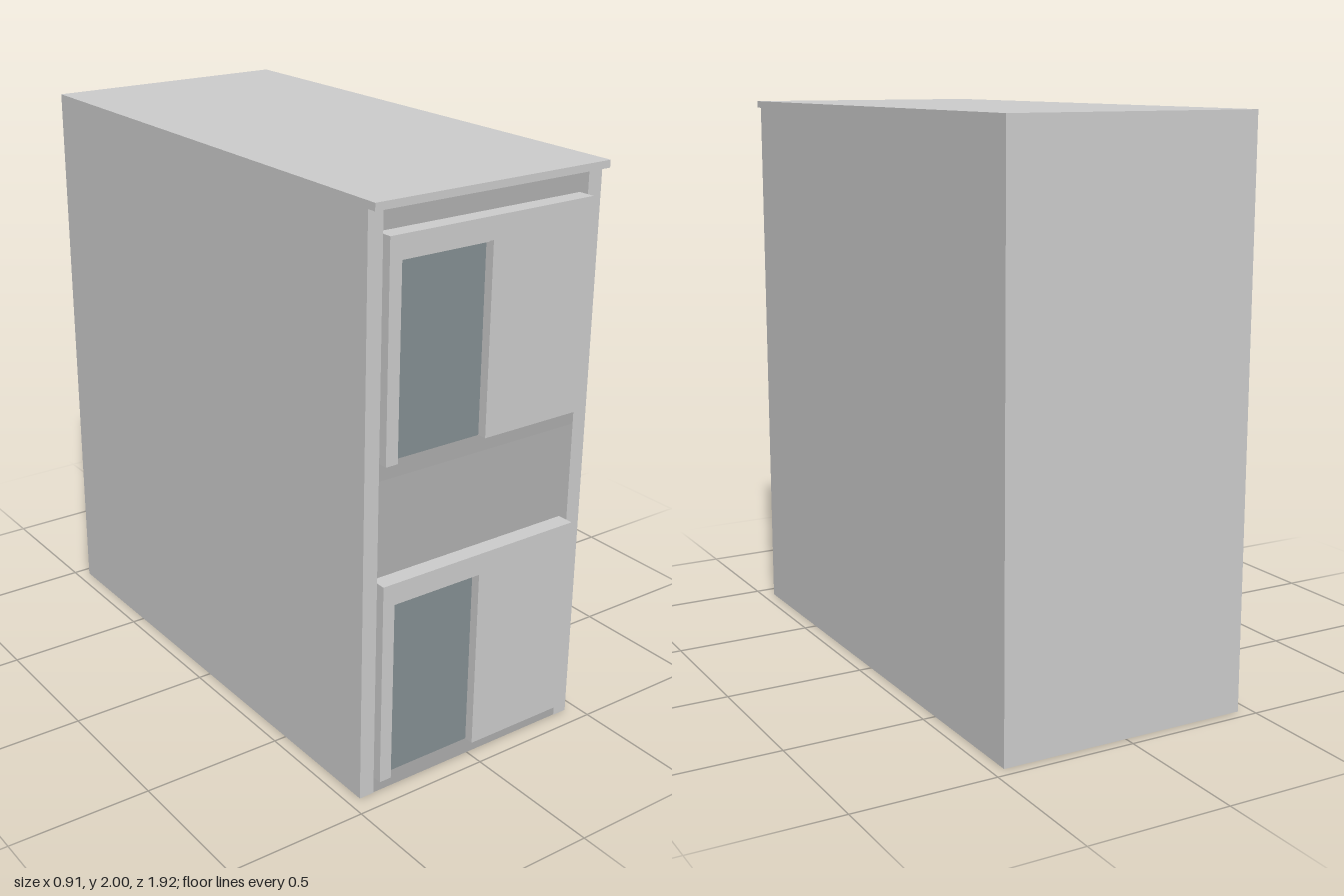
import * as THREE from 'three';

const grey = new THREE.MeshStandardMaterial({ color: 0xcccccc, flatShading: true });
const concrete = new THREE.MeshStandardMaterial({ color: 0xacacac, flatShading: true });
const glass = new THREE.MeshStandardMaterial({ color: 0x848f92 });
const dark = new THREE.MeshStandardMaterial({ color: 0x333333 });

// Box given by its min and max on each axis
function box(parent, name, [x0, x1], [y0, y1], [z0, z1], material = grey) {
  const mesh = new THREE.Mesh(new THREE.BoxGeometry(x1 - x0, y1 - y0, z1 - z0), material);
  mesh.position.set((x0 + x1) / 2, (y0 + y1) / 2, (z0 + z1) / 2);
  mesh.name = name;
  parent.add(mesh);
  return mesh;
}

const STEPS = 10, RUN = 0.84, RISE = 0.56, SLAB = 0.06, WIDTH = 0.36;
const FRONT_EDGE = 0.36, BACK_EDGE = FRONT_EDGE - RUN;

// One flight: starts at the local origin (slab underside) and climbs towards -z
function makeFlight(name) {
  const flight = new THREE.Group();
  flight.name = name;
  const tread = RUN / STEPS, riser = RISE / STEPS;

  const profile = new THREE.Shape();
  profile.moveTo(0, 0);
  profile.lineTo(RUN, RISE);
  profile.lineTo(RUN, RISE + SLAB);
  for (let i = STEPS - 1; i >= 0; i--) {
    profile.lineTo(i * tread, SLAB + (i + 1) * riser);
    profile.lineTo(i * tread, SLAB + i * riser);
  }
  const geometry = new THREE.ExtrudeGeometry(profile, { depth: WIDTH, bevelEnabled: false });
  geometry.rotateY(Math.PI / 2).translate(-WIDTH / 2, 0, 0);
  const steps = new THREE.Mesh(geometry, concrete);
  steps.name = 'steps';
  flight.add(steps);

  // Handrails on the wall side and the open side
  for (const [x, label] of [[-0.16, 'wallHandrail'], [0.165, 'openHandrail']]) {
    const rail = new THREE.Mesh(new THREE.BoxGeometry(0.014, 0.02, Math.hypot(RUN, RISE)), grey);
    rail.rotation.x = Math.atan2(RISE, RUN);
    rail.position.set(x, SLAB + RISE / 2 + 0.285, -RUN / 2);
    rail.name = label;
    flight.add(rail);
  }
  // Balusters, one per tread
  for (let i = 0; i < STEPS; i++) {
    const z = -(i + 0.5) * tread;
    const foot = SLAB + (i + 1) * riser;
    const top = SLAB + (i + 0.5) * riser + 0.285;
    box(flight, 'baluster', [0.159, 0.171], [foot, top], [z - 0.006, z + 0.006], dark);
  }
  return flight;
}

// Front panel with a glazed door opening down to the floor
function makeFacade(name, y0) {
  const facade = new THREE.Group();
  facade.name = name;
  const panel = new THREE.Shape();
  [[-0.4, 0], [-0.355, 0], [-0.355, 0.64], [-0.01, 0.64], [-0.01, 0], [0.392, 0], [0.392, 0.715], [-0.4, 0.715]]
    .forEach(([x, y], i) => (i ? panel.lineTo(x, y) : panel.moveTo(x, y)));
  const wall = new THREE.Mesh(new THREE.ExtrudeGeometry(panel, { depth: 0.06, bevelEnabled: false }), grey);
  wall.position.z = 0.905;
  wall.name = 'frontPanel';
  facade.add(wall);
  box(facade, 'doorGlass', [-0.355, -0.01], [0, 0.63], [0.92, 0.932], glass);
  box(facade, 'doorHead', [-0.355, -0.01], [0.63, 0.64], [0.915, 0.945]);
  facade.position.y = y0;
  return facade;
}

export function createModel() {
  const model = new THREE.Group();
  model.name = 'stairwell';

  // Shell
  for (const s of [-1, 1]) {
    const x = [s * 0.4, s * 0.455].sort((a, b) => a - b);
    box(model, s < 0 ? 'rightWall' : 'leftWall', x, [0, 1.975], [-0.96, 0.932]);
  }
  box(model, 'backWall', [-0.4, 0.4], [0, 1.975], [-0.96, -0.905]);
  box(model, 'roof', [-0.455, 0.455], [1.975, 2], [-0.96, 0.965]);

  // Landings
  box(model, 'groundLanding', [-0.4, 0.4], [0, SLAB], [FRONT_EDGE, 0.93], concrete);
  box(model, 'middleLanding', [-0.4, 0.4], [RISE, RISE + SLAB], [-0.905, BACK_EDGE], concrete);
  box(model, 'upperLanding', [-0.4, 0.4], [2 * RISE, 2 * RISE + SLAB], [FRONT_EDGE, 0.93], concrete);

  // Two flights, the second turned back towards the front
  const lower = makeFlight('lowerFlight');
  lower.position.set(-0.22, 0, FRONT_EDGE);
  const upper = makeFlight('upperFlight');
  upper.position.set(0.22, RISE, BACK_EDGE);
  upper.rotation.y = Math.PI;
  model.add(lower, upper);

  // Facades
  model.add(makeFacade('lowerFacade', SLAB), makeFacade('upperFacade', 2 * RISE + SLAB));
  return model;
}
